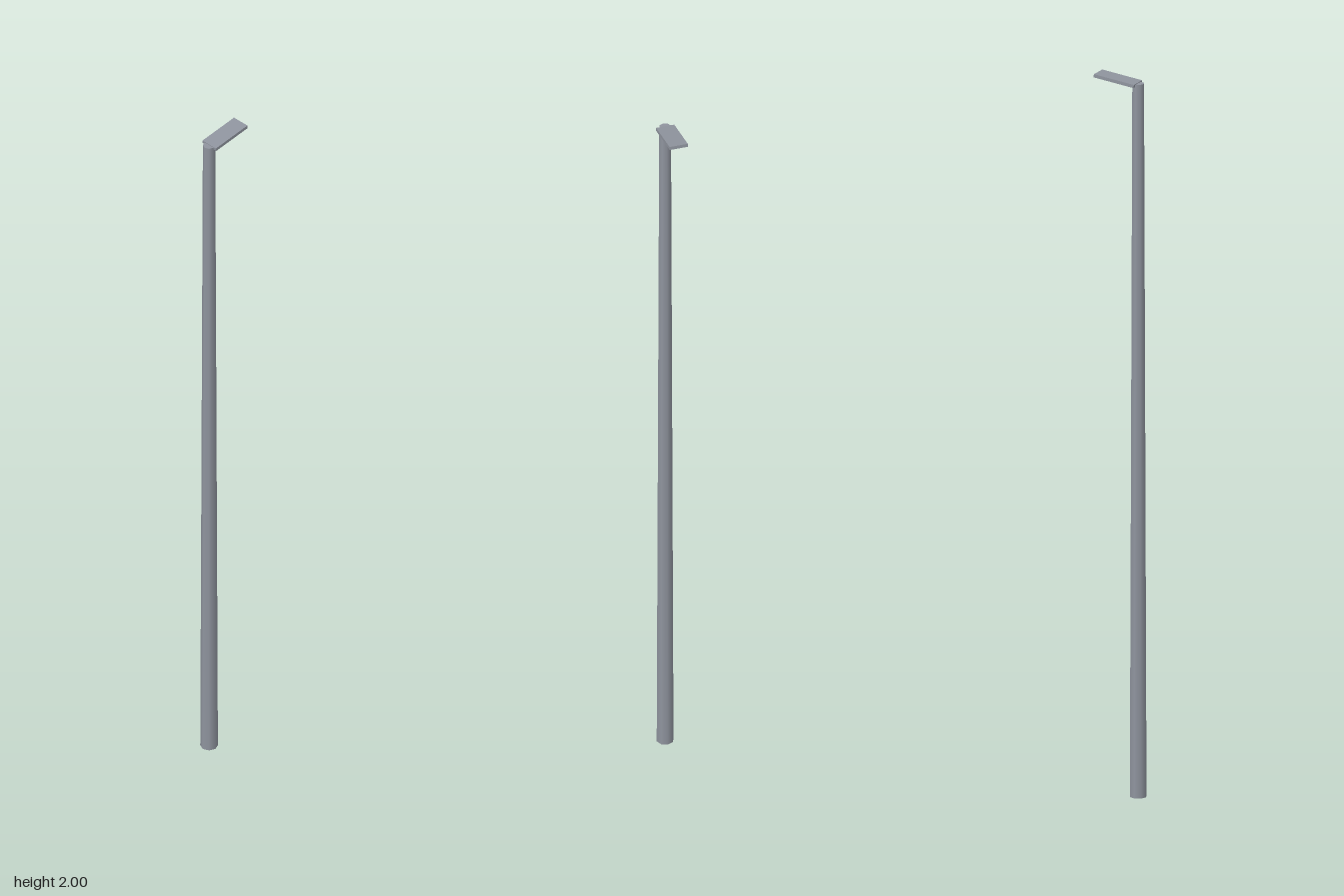
import * as THREE from 'three';

export function createModel() {
  const group = new THREE.Group();
  const metal = new THREE.MeshStandardMaterial({ color: 0x8f949e });
  metal.name = 'grey metal';
  const lens = new THREE.MeshStandardMaterial({ color: 0xcfc8b4 });
  lens.name = 'warm lamp lens';

  // Tapered eight-sided pole
  const poleHeight = 1.983;
  const pole = new THREE.Mesh(new THREE.CylinderGeometry(0.0166, 0.0236, poleHeight, 8), metal);
  pole.name = 'pole';
  pole.position.set(-0.0484, poleHeight / 2, 0);
  group.add(pole);

  // Thin lamp head, tilted upwards away from the pole, with the lens as its lower face
  const headMaterials = [metal, metal, metal, lens, metal, metal];
  const head = new THREE.Mesh(new THREE.BoxGeometry(0.12, 0.009, 0.051), headMaterials);
  head.name = 'lampHead';
  head.position.set(0.012, 1.988, 0);
  head.rotation.z = THREE.MathUtils.degToRad(7.2);
  group.add(head);

  return group;
}
